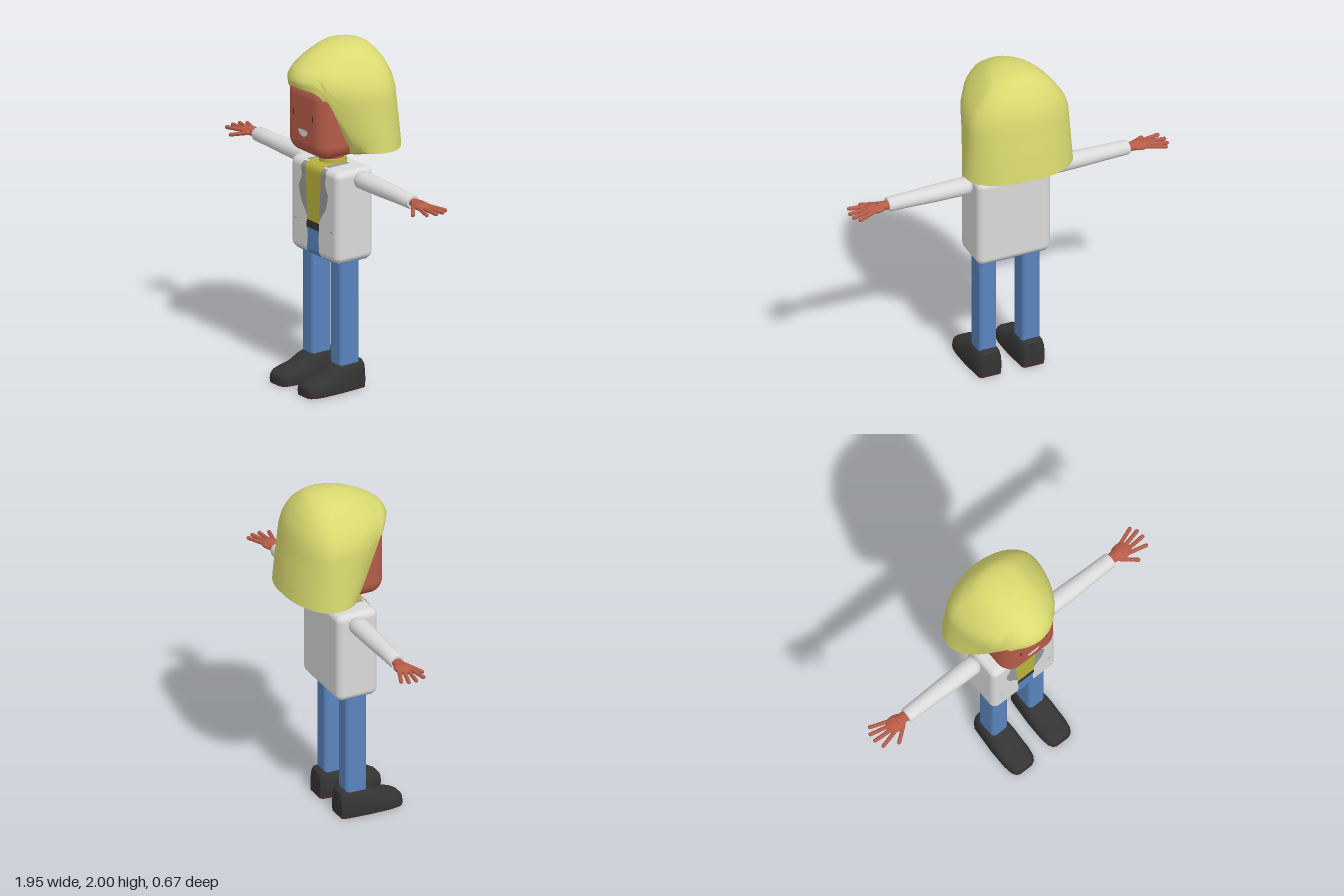
import * as THREE from 'three';
import { toCreasedNormals } from 'three/addons/utils/BufferGeometryUtils.js';
import { RoundedBoxGeometry } from 'three/addons/geometries/RoundedBoxGeometry.js';

const mat = (name, color, side = THREE.FrontSide) => {
  const m = new THREE.MeshStandardMaterial({ color, side });
  m.name = name;
  return m;
};

// Linear lookup in a table of [key, value, value...] with rising keys
function lookup(table, k, col = 1) {
  if (k <= table[0][0]) return table[0][col];
  for (let i = 1; i < table.length; i++) {
    const a = table[i - 1], b = table[i];
    if (k <= b[0]) return a[col] + (b[col] - a[col]) * (k - a[0]) / (b[0] - a[0]);
  }
  return table[table.length - 1][col];
}

// Surface through rows of points; closed rows wrap around
function loft(rows, closed, crease = 0.8) {
  const n = rows[0].length, index = [];
  for (let i = 0; i < rows.length - 1; i++) {
    for (let j = 0; j < (closed ? n : n - 1); j++) {
      const a = i * n + j, b = i * n + (j + 1) % n;
      index.push(a, a + n, b, b, a + n, b + n);
    }
  }
  const g = new THREE.BufferGeometry();
  g.setAttribute('position', new THREE.Float32BufferAttribute(rows.flat(2), 3));
  g.setIndex(index);
  return toCreasedNormals(g, crease);
}

export function createModel() {
  const root = new THREE.Group();
  root.name = 'figure';
  const hairMat = mat('blonde hair', 0xdada70);
  const skin = mat('skin', 0xb65c48);
  const white = mat('white jacket', 0xdadada);
  const grey = mat('grey lining', 0x979797, THREE.DoubleSide);
  const yellow = mat('yellow shirt', 0xb9b23c, THREE.DoubleSide);
  const denim = mat('blue denim', 0x5984bd, THREE.DoubleSide);
  const black = mat('black leather', 0x343434, THREE.DoubleSide);
  const red = mat('dark red sole', 0x720a0e, THREE.DoubleSide);

  const add = (name, geo, material, x = 0, y = 0, z = 0) => {
    const m = new THREE.Mesh(geo, material);
    m.name = name;
    m.position.set(x, y, z);
    root.add(m);
    return m;
  };

  // Torso, open jacket front and underside
  add('jacket', new RoundedBoxGeometry(0.45, 0.54, 0.256, 4, 0.04), white, 0, 1.03, 0.037);
  add('jeansBase', new RoundedBoxGeometry(0.39, 0.008, 0.2, 1, 0.003), denim, 0, 0.759, 0.037);

  // Panel that follows the rounded front; knots are [y, outer half width]
  function panel(name, material, knots, off) {
    const y0 = knots[0][0], y1 = knots[knots.length - 1][0], r = 0.04 + off, rows = [];
    const row = (y, z, w) => rows.push([[w, y, z], [0, y, z], [-w, y, z]]);
    for (let i = 0; i <= 30; i++) {
      const y = y0 + (y1 - y0) * i / 30;
      const d = Math.min(r, Math.max(0, y - 1.26, 0.80 - y));
      row(y, 0.125 + Math.sqrt(r * r - d * d), lookup(knots, y));
    }
    if (y1 >= 1.3) row(y1, -0.01, knots[knots.length - 1][1]);
    add(name, loft(rows, false), material);
  }
  panel('lapels', grey, [[0.98, 0.06], [1.01, 0.075], [1.06, 0.115], [1.11, 0.13], [1.15, 0.138],
    [1.19, 0.115], [1.22, 0.107], [1.26, 0.12], [1.302, 0.105]], 0.002);
  panel('shirt', yellow, [[0.96, 0.057], [1.1, 0.065], [1.304, 0.075]], 0.004);
  panel('belt', black, [[0.92, 0.058], [0.965, 0.057]], 0.006);
  panel('jeansFront', denim, [[0.756, 0.062], [0.8, 0.057], [0.87, 0.05], [0.925, 0.057]], 0.004);

  // Head, neck and collar
  add('head', new RoundedBoxGeometry(0.374, 0.44, 0.388, 6, 0.09), skin, 0, 1.58, 0.044);
  add('neck', new THREE.CylinderGeometry(0.062, 0.062, 0.12, 24), skin, 0, 1.35, 0.03);
  add('collar', new THREE.CylinderGeometry(0.077, 0.08, 0.03, 24), yellow, 0, 1.311, 0.032);
  const smile = new THREE.Shape();
  smile.moveTo(-0.043, 0.02);
  smile.quadraticCurveTo(0, 0.026, 0.043, 0.02);
  smile.bezierCurveTo(0.043, -0.03, -0.043, -0.03, -0.043, 0.02);
  add('mouth', new THREE.ShapeGeometry(smile, 8), white, 0, 1.498, 0.2395);

  // Hair sections: [depth below crown, half width, front z, back z]
  const sections = [[0, 0, -0.06, -0.06], [0.006, 0.075, 0.04, -0.14], [0.03, 0.145, 0.12, -0.185],
    [0.08, 0.2, 0.215, -0.23], [0.13, 0.24, 0.28, -0.258], [0.18, 0.272, 0.305, -0.28],
    [0.25, 0.3, 0.285, -0.295], [0.32, 0.305, 0.25, -0.303], [0.4, 0.31, 0.205, -0.315],
    [0.5, 0.317, 0.16, -0.327], [0.59, 0.325, 0.095, -0.335]];
  // Hem height by angle from the front
  const hem = [[0, 1.785], [0.39, 1.775], [0.52, 1.75], [0.6, 1.7], [0.66, 1.6],
    [0.79, 1.42], [1, 1.405], [2, 1.4], [3.15, 1.42]];
  const hairRows = [];
  const N = 48, R = 18;
  for (let i = 0; i <= R + 2; i++) {
    const row = [];
    for (let j = 0; j < N; j++) {
      const t = j / N * Math.PI * 2;
      const bottom = lookup(hem, Math.min(t, Math.PI * 2 - t));
      const depth = (2 - bottom) * Math.pow(Math.min(i, R) / R, 1.7);
      const w = lookup(sections, depth, 1), f = lookup(sections, depth, 2), b = lookup(sections, depth, 3);
      const zc = Math.max(-0.12, -0.06 - depth * 0.6), c = Math.cos(t);
      let x = w * Math.sin(t), y = 2 - depth, z = zc + c * (c > 0 ? f - zc : zc - b);
      if (i > R) { // underside turning in to the head
        x = THREE.MathUtils.clamp(x, -0.15, 0.15);
        z = THREE.MathUtils.clamp(z, -0.13, 0.2);
        y -= 0.04;
      }
      if (i > R + 1) { x *= 0.4; z *= 0.4; y = 1.5; }
      row.push([x, y, z]);
    }
    hairRows.push(row);
  }
  add('hair', loft(hairRows, true, 0.75), hairMat);

  // Shoe sections: [z, half width, height]
  const shoeSections = [[-0.052, 0.06, 0.15], [-0.035, 0.072, 0.165], [0.03, 0.078, 0.163], [0.09, 0.083, 0.158],
    [0.13, 0.086, 0.142], [0.19, 0.087, 0.105], [0.25, 0.087, 0.09], [0.3, 0.08, 0.077], [0.325, 0.065, 0.065],
    [0.335, 0.045, 0.055]];
  const shoeRing = [[-0.96, 0], [-1, 0.3], [-0.95, 0.65], [-0.8, 0.9], [-0.5, 1],
    [0.5, 1], [0.8, 0.9], [0.95, 0.65], [1, 0.3], [0.96, 0]];
  const shoeRows = shoeSections.map(([z, w, h]) => shoeRing.map(([u, v]) => [u * w, 0.003 + v * (h - 0.003), z]));
  const cap = ([z, , h]) => shoeRing.map(() => [0, h / 2, z]);
  const shoeGeo = loft([cap(shoeSections[0]), ...shoeRows, cap(shoeSections[9])], true);
  const soleGeo = loft(shoeSections.map(([z, w]) => [[w * 0.95, 0, z], [-w * 0.95, 0, z]]), false);

  // Sleeve profile: [radius, distance from the body centre]
  const sleeve = [[0.0, 0.215], [0.02, 0.22], [0.042, 0.238], [0.05, 0.255], [0.05, 0.3], [0.048, 0.45],
    [0.043, 0.6], [0.041, 0.725], [0.036, 0.737], [0, 0.737]].map(([r, d]) => new THREE.Vector2(r, d));
  const sleeveGeo = toCreasedNormals(new THREE.LatheGeometry(sleeve, 20), 0.8);

  // Fingers: [base x, base z, tip x, tip z], thumb last
  const fingers = [[0.835, -0.022, 0.94, -0.062], [0.845, 0.003, 0.963, -0.026], [0.845, 0.028, 0.967, 0.02],
    [0.835, 0.048, 0.95, 0.075], [0.775, 0.045, 0.865, 0.112]];
  const up = new THREE.Vector3(0, 1, 0);

  for (const s of [1, -1]) {
    const side = s > 0 ? 'left' : 'right';
    add(side + 'Eye', new THREE.BoxGeometry(0.009, 0.032, 0.004), black, s * 0.09, 1.603, 0.238);
    add(side + 'Pocket', new THREE.BoxGeometry(0.022, 0.005, 0.004), grey, s * 0.17, 0.943, 0.165);
    add(side + 'Leg', new RoundedBoxGeometry(0.11, 0.66, 0.134, 3, 0.025), denim, s * 0.132, 0.46, 0.046);
    add(side + 'Shoe', shoeGeo, black, s * 0.132);
    add(side + 'Sole', soleGeo, red, s * 0.132);

    const arm = add(side + 'Sleeve', sleeveGeo, white, 0, 1.25, 0.016);
    arm.rotation.z = -s * Math.PI / 2;
    arm.scale.z = 1.12;

    // Hand
    const wrist = add(side + 'Wrist', new THREE.CylinderGeometry(0.036, 0.03, 0.07, 16), skin, s * 0.765, 1.25, 0.014);
    wrist.rotation.z = -s * Math.PI / 2;
    wrist.scale.x = 0.75;
    const palm = add(side + 'Palm', new THREE.SphereGeometry(1, 20, 12), skin, s * 0.81, 1.248, 0.014);
    palm.scale.set(0.062, 0.022, 0.05);
    fingers.forEach(([x0, z0, x1, z1], i) => {
      const drop = i === 4 ? 0.022 : 0.006;
      const a = new THREE.Vector3(s * x0, 1.248, z0), b = new THREE.Vector3(s * x1, 1.248 - drop, z1);
      const r = 0.0115, dir = b.clone().sub(a), mid = a.clone().add(b).multiplyScalar(0.5);
      const f = add(side + (i === 4 ? 'Thumb' : 'Finger' + (i + 1)),
        new THREE.CapsuleGeometry(r, dir.length() - r, 4, 10), skin, mid.x, mid.y, mid.z);
      f.quaternion.setFromUnitVectors(up, dir.normalize());
    });
  }
  return root;
}
